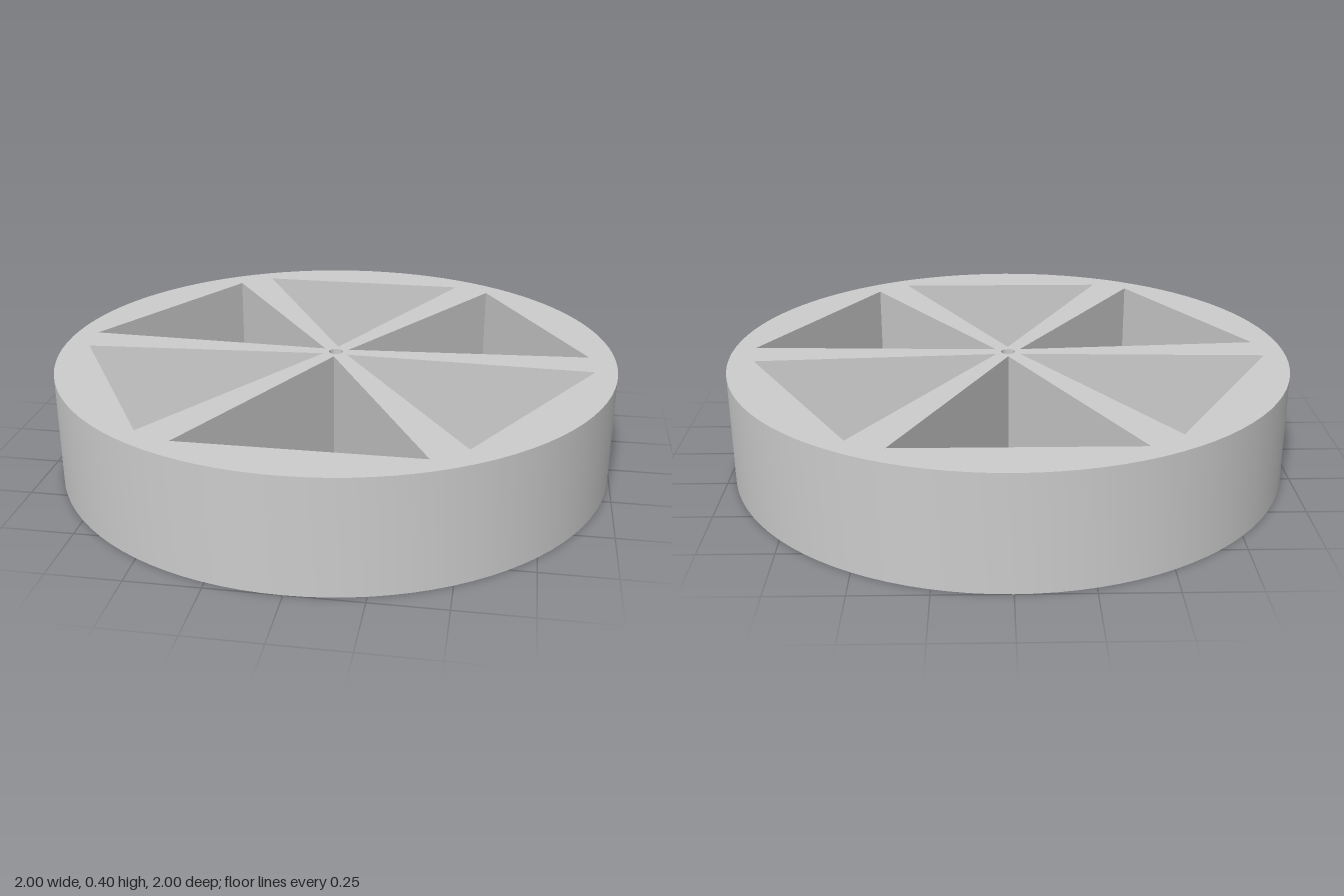
import * as THREE from 'three';
import { toCreasedNormals } from 'three/addons/utils/BufferGeometryUtils.js';

const RADIUS = 1, HEIGHT = 0.4, BORE = 0.025, SPOKES = 6;

// Slightly skewed triangular opening between two spokes: two rim corners and the hub corner
const OPENING = [[-0.412, 0.826], [0.38, 0.826], [0, 0.05]];

export function createModel() {
  const group = new THREE.Group();
  group.name = 'spokedWheel';

  // Disc outline
  const disc = new THREE.Shape();
  disc.absarc(0, 0, RADIUS, 0, Math.PI * 2, false);

  // Axle bore
  const bore = new THREE.Path();
  bore.absarc(0, 0, BORE, 0, Math.PI * 2, true);
  disc.holes.push(bore);

  // Openings repeated around the hub
  const center = new THREE.Vector2();
  for (let i = 0; i < SPOKES; i++) {
    const angle = (i * Math.PI * 2) / SPOKES;
    const corners = OPENING.map(([x, y]) => new THREE.Vector2(x, y).rotateAround(center, angle));
    const opening = new THREE.Path(corners);
    opening.closePath();
    disc.holes.push(opening);
  }

  // Extruded upward, lying flat
  const geometry = new THREE.ExtrudeGeometry(disc, { depth: HEIGHT, bevelEnabled: false, curveSegments: 48 });
  geometry.rotateX(-Math.PI / 2);

  const wheel = new THREE.Mesh(
    toCreasedNormals(geometry, 0.5),
    new THREE.MeshStandardMaterial({ color: 0xcccccc })
  );
  wheel.name = 'wheel';
  group.add(wheel);
  return group;
}
